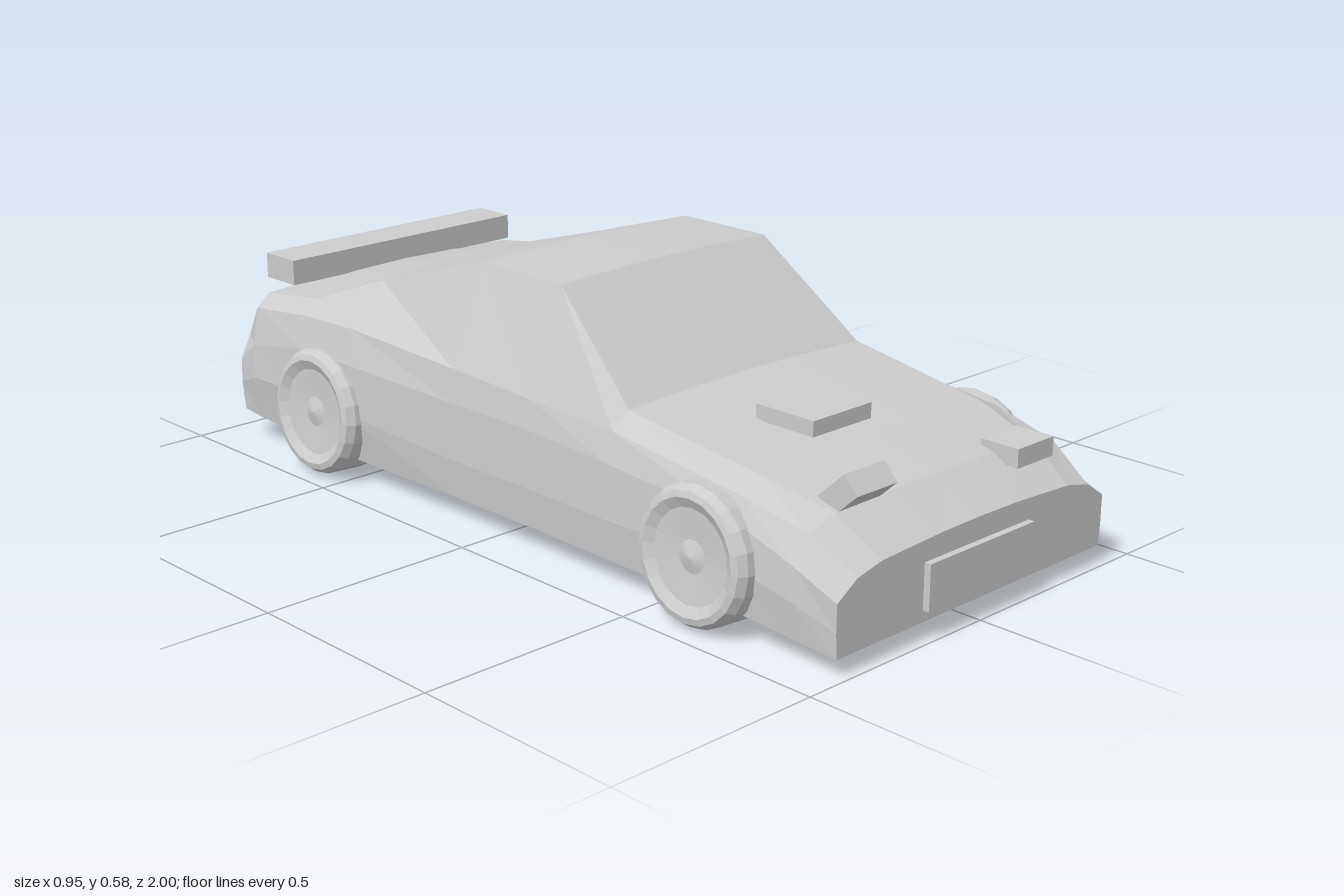
import * as THREE from 'three';

export function createModel() {
  const model = new THREE.Group();
  const grey = new THREE.MeshStandardMaterial({ color: 0xcccccc });
  grey.name = 'grey';
  grey.flatShading = true;

  const add = (name, geometry, x = 0, y = 0, z = 0) => {
    const mesh = new THREE.Mesh(geometry, grey);
    mesh.name = name;
    mesh.position.set(x, y, z);
    model.add(mesh);
    return mesh;
  };

  // Body cross-sections, front to back: z, crown height,
  // then sill, flank, belt, shoulder and top edge as x, y
  const sections = [
    [0.985, 0.222, 0.412, 0.047, 0.415, 0.10, 0.415, 0.16, 0.36, 0.196, 0.29, 0.212],
    [0.88, 0.287, 0.412, 0.052, 0.42, 0.13, 0.415, 0.20, 0.38, 0.26, 0.305, 0.28],
    [0.72, 0.33, 0.41, 0.06, 0.42, 0.16, 0.415, 0.25, 0.395, 0.295, 0.335, 0.32],
    [0.36, 0.38, 0.41, 0.06, 0.418, 0.15, 0.412, 0.27, 0.395, 0.335, 0.35, 0.37],
    [0.11, 0.582, 0.405, 0.06, 0.414, 0.15, 0.41, 0.28, 0.40, 0.345, 0.308, 0.575],
    [-0.14, 0.582, 0.407, 0.06, 0.416, 0.15, 0.413, 0.28, 0.402, 0.355, 0.308, 0.575],
    [-0.49, 0.482, 0.415, 0.06, 0.432, 0.17, 0.43, 0.29, 0.41, 0.37, 0.318, 0.468],
    [-0.66, 0.418, 0.415, 0.062, 0.435, 0.18, 0.43, 0.29, 0.412, 0.365, 0.375, 0.40],
    [-0.87, 0.392, 0.41, 0.067, 0.425, 0.17, 0.42, 0.25, 0.405, 0.34, 0.37, 0.37],
    [-0.94, 0.315, 0.405, 0.07, 0.412, 0.14, 0.41, 0.20, 0.38, 0.26, 0.33, 0.295],
  ];
  const rings = sections.map(([z, top, ...p]) => {
    const half = [];
    for (let i = 0; i < p.length; i += 2) half.push([p[i], p[i + 1], z]);
    const [ex, ey] = half[4];
    half.push([ex * 0.4, ey + (top - ey) * 0.84, z]);
    const mirrored = half.map(([x, y]) => [-x, y, z]).reverse();
    return [...half, [0, top, z], ...mirrored];
  });
  const n = rings[0].length, last = rings.length - 1;
  const index = [];
  for (let i = 0; i < last; i++) {
    for (let j = 0; j < n; j++) {
      const a = i * n + j, b = i * n + (j + 1) % n;
      index.push(a, a + n, b, b, a + n, b + n);
    }
  }
  for (let j = 1; j < n - 1; j++) {
    index.push(0, j, j + 1, last * n, last * n + j + 1, last * n + j);
  }
  const hull = new THREE.BufferGeometry();
  hull.setAttribute('position', new THREE.Float32BufferAttribute(rings.flat(2), 3));
  hull.setIndex(index);
  const body = hull.toNonIndexed();
  body.computeVertexNormals();
  add('body', body);

  // Wheels with dished rims, leaning in at the top
  const tyre = new THREE.LatheGeometry([
    [0, -0.06], [0.135, -0.06], [0.147, -0.045], [0.147, 0.04], [0.136, 0.058],
    [0.122, 0.062], [0.10, 0.05], [0.035, 0.045], [0, 0.055],
  ].map(([r, h]) => new THREE.Vector2(r, h)), 20);
  for (const side of [1, -1]) {
    for (const [name, x, y, z] of [['front', 0.398, 0.156, 0.635], ['rear', 0.404, 0.156, -0.587]]) {
      const wheel = add(`${name}${side > 0 ? 'Left' : 'Right'}Wheel`, tyre, side * x, y, z);
      wheel.rotation.z = side * (-Math.PI / 2 + 0.06);
    }
  }

  // Boxy fittings
  const box = (name, w, h, d, x, y, z) => add(name, new THREE.BoxGeometry(w, h, d), x, y, z);
  box('rearWing', 0.67, 0.06, 0.108, 0, 0.423, -0.868);
  box('hoodScoop', 0.175, 0.034, 0.156, -0.073, 0.366, 0.612);
  box('leftHeadlight', 0.117, 0.042, 0.095, 0.236, 0.285, 0.893);
  const popUp = box('rightHeadlight', 0.117, 0.05, 0.088, -0.236, 0.31, 0.873);
  popUp.rotation.x = -0.75;
  box('frontPlate', 0.326, 0.1, 0.022, 0, 0.122, 0.989);
  box('exhaust', 0.085, 0.042, 0.07, -0.238, 0.087, -0.965);

  return model;
}
